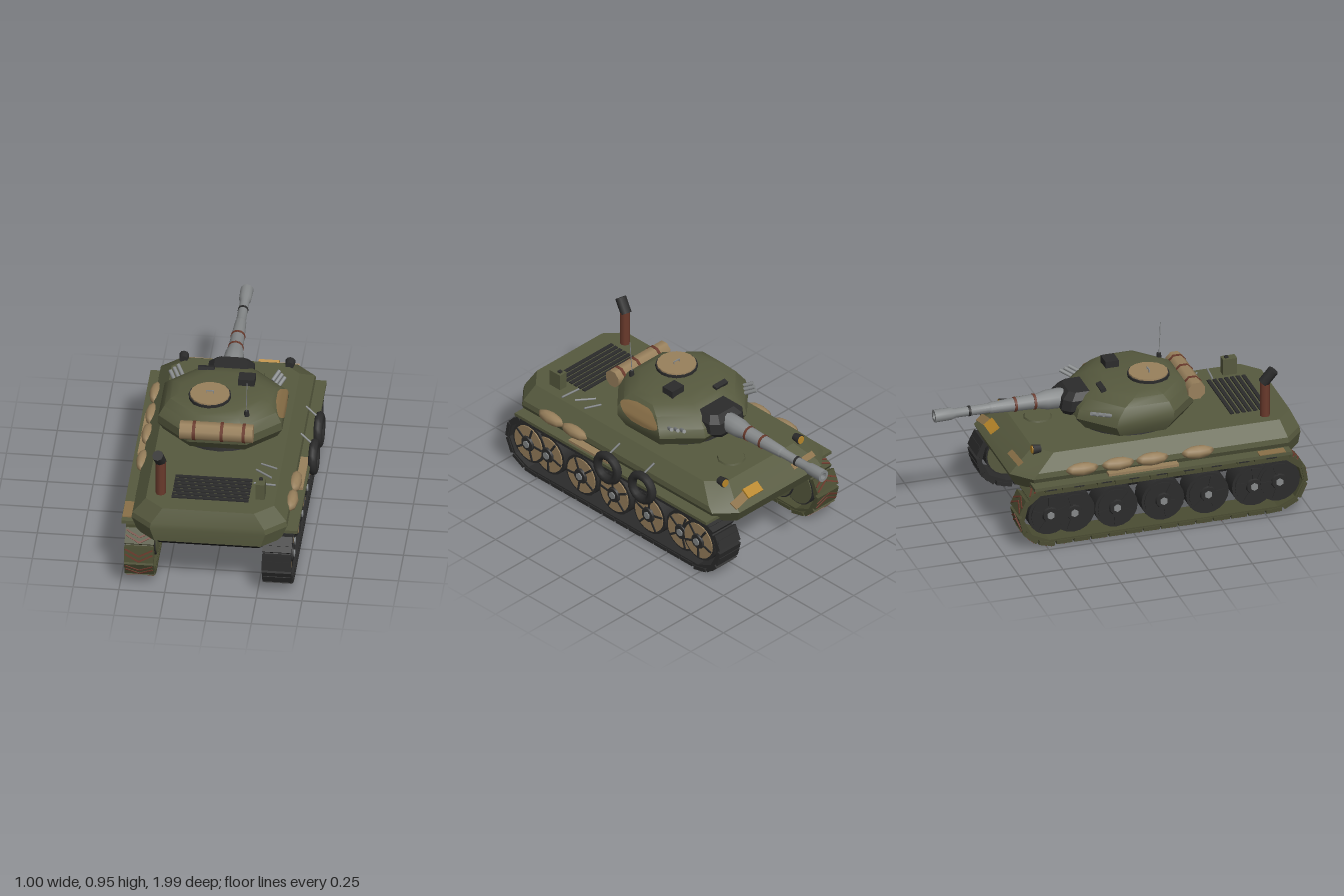
import * as THREE from 'three';
import { toCreasedNormals } from 'three/addons/utils/BufferGeometryUtils.js';

const mat = (name, color, side = THREE.FrontSide) => {
  const m = new THREE.MeshStandardMaterial({ color, side });
  m.name = name;
  return m;
};

// Octagonal loft; each ring is [y, halfWidth, zMin, zMax, cornerX, cornerZ]
function loft(rings, crease) {
  const pos = [];
  const pts = rings.map(([y, w, a, b, cx, cz]) => [
    [-w + cx, y, b], [w - cx, y, b], [w, y, b - cz], [w, y, a + cz],
    [w - cx, y, a], [-w + cx, y, a], [-w, y, a + cz], [-w, y, b - cz]]);
  const tri = (...p) => p.forEach((q) => pos.push(...q));
  for (let i = 0; i < 8; i++) {
    const j = (i + 1) % 8;
    for (let k = 0; k < pts.length - 1; k++) {
      tri(pts[k][i], pts[k][j], pts[k + 1][j]);
      tri(pts[k][i], pts[k + 1][j], pts[k + 1][i]);
    }
    const top = pts[pts.length - 1], low = pts[0];
    if (i > 0 && i < 7) {
      tri(top[0], top[i], top[j]);
      tri(low[0], low[j], low[i]);
    }
  }
  const g = new THREE.BufferGeometry();
  g.setAttribute('position', new THREE.Float32BufferAttribute(pos, 3));
  return toCreasedNormals(g, crease);
}

export function createModel() {
  const olive = mat('olive', 0x56593e), tan = mat('tan', 0x98805c), black = mat('rubber black', 0x2b2b2b);
  const belly = mat('belly black', 0x1b1b1b), red = mat('rust red', 0x6a3a2c), grey = mat('gun grey', 0x858889);
  const yellow = mat('lamp yellow', 0xb8872a), darkOlive = mat('dark olive', 0x4a4c32);
  const tanPaint = mat('tan paint', 0x8a7048, THREE.DoubleSide);
  const root = new THREE.Group();
  root.name = 'tank';

  const add = (name, geo, m, p = [0, 0, 0], r = [0, 0, 0], parent = root) => {
    const o = new THREE.Mesh(geo, m);
    o.name = name;
    o.position.set(...p);
    o.rotation.set(...r);
    parent.add(o);
    return o;
  };
  const box = (x, y, z) => new THREE.BoxGeometry(x, y, z);
  const cyl = (r0, r1, h, n = 12) => new THREE.CylinderGeometry(r0, r1, h, n);
  const rod = (name, a, b, r, m, n = 6) => {
    const A = new THREE.Vector3(...a), B = new THREE.Vector3(...b), d = B.clone().sub(A);
    const o = add(name, cyl(r, r, d.length(), n), m, A.clone().add(B).multiplyScalar(0.5).toArray());
    o.quaternion.setFromUnitVectors(new THREE.Vector3(0, 1, 0), d.normalize());
    return o;
  };
  const CX = -0.018;

  // Hull
  add('upperHull', loft([
    [0.32, 0.39, -0.63, 0.985, 0.1, 0.09], [0.4, 0.425, -0.67, 0.99, 0.11, 0.1],
    [0.43, 0.42, -0.64, 0.985, 0.11, 0.1], [0.51, 0.35, -0.52, 0.95, 0.1, 0.09]], 0.35), olive, [CX, 0, 0]);
  add('lowerHull', loft([
    [0.21, 0.285, -0.42, 0.82, 0.02, 0.02], [0.26, 0.29, -0.54, 0.91, 0.02, 0.02],
    [0.325, 0.295, -0.62, 0.97, 0.02, 0.02]], 0.5), belly, [CX, 0, 0]);
  for (const s of [-1, 1]) {
    add('fender', box(0.13, 0.018, 1.47), olive, [CX + s * 0.416, 0.364, 0.155]);
    for (let i = 0; i < 9; i++) add('fenderBracket', box(0.1, 0.02, 0.06), black, [CX + s * 0.41, 0.346, 0.78 - i * 0.157]);
  }

  // Tracks and wheels, built facing local +X and then turned
  const loop = [[-0.88, 0.325], [-0.955, 0.26], [-0.975, 0.17], [-0.93, 0.07], [-0.83, 0.02],
    [0.5, 0.02], [0.6, 0.07], [0.645, 0.17], [0.625, 0.26], [0.55, 0.325]];
  const outline = new THREE.Shape(loop.map((p) => new THREE.Vector2(...p)));
  outline.closePath();
  const inner = loop.map(([x, y]) => new THREE.Vector2(-0.165 + (x + 0.165) * 0.98, 0.172 + (y - 0.172) * 0.9));
  outline.holes.push(new THREE.Path(inner));
  const band = new THREE.ExtrudeGeometry(outline, { depth: 0.15, bevelEnabled: false });
  band.translate(0, 0, -0.075);
  const padGeo = box(0.09, 0.022, 0.16), chevGeo = box(0.009, 0.006, 0.085), barGeo = box(0.02, 0.012, 0.15);
  const wheelX = [-0.826, -0.686, -0.42, -0.166, 0.1, 0.34, 0.48];

  for (const s of [-1, 1]) {
    const track = new THREE.Group();
    track.name = s > 0 ? 'leftTrack' : 'rightTrack';
    track.position.x = CX + s * 0.376;
    track.rotation.y = Math.PI / 2;
    root.add(track);
    const linkMat = s > 0 ? black : darkOlive;
    add('trackBand', band, linkMat, [0, 0, 0], [0, 0, 0], track);
    const N = 36, pts = outline.getSpacedPoints(N * 2);
    for (let i = 0; i < N; i++) {
      const a = pts[i * 2], m = pts[i * 2 + 1], b = pts[(i * 2 + 2) % pts.length];
      const pad = new THREE.Group();
      pad.name = 'trackLink';
      pad.position.set(m.x, m.y, 0);
      pad.rotation.z = Math.atan2(b.y - a.y, b.x - a.x);
      track.add(pad);
      add('linkPad', padGeo, linkMat, [0, -0.004, 0], [0, 0, 0], pad);
      if (s > 0) add('linkBar', barGeo, black, [0, -0.013, 0], [0, 0, 0], pad);
      else for (const t of [-1, 1]) for (const k of [-0.012, 0.018])
        add('chevron', chevGeo, red, [k, -0.016, t * 0.037], [0, -t * 0.5, 0], pad);
    }
    wheelX.forEach((x, i) => {
      const w = new THREE.Group();
      w.name = 'roadWheel';
      const back = i === 1 || i === 5;
      w.position.set(x, i === 0 || i === 6 ? 0.185 : 0.172, back ? -s * 0.012 : 0);
      w.rotation.x = s * Math.PI / 2; // local +y points outward
      track.add(w);
      add('tyre', cyl(0.122, 0.122, 0.12, 20), black, [0, 0, 0], [0, 0, 0], w);
      add('outerDisc', cyl(0.106, 0.106, 0.008, 20), s > 0 ? tan : black, [0, 0.062, 0], [0, 0, 0], w);
      add('innerDisc', cyl(0.114, 0.114, 0.008, 20), olive, [0, -0.061, 0], [0, 0, 0], w);
      add('hubRing', cyl(0.042, 0.048, 0.016, 10), black, [0, 0.07, 0], [0, 0, 0], w);
      add('hub', cyl(0.022, 0.022, 0.012, 6), grey, [0, 0.079, 0], [0, 0, 0], w);
      for (let k = 0; k < 5; k++) {
        const a = k * Math.PI * 0.4 + i;
        add('spoke', box(0.07, 0.01, 0.012), black, [Math.cos(a) * 0.07, 0.066, -Math.sin(a) * 0.07], [0, a, 0], w);
      }
    });
  }

  // Turret
  const TX = -0.03;
  add('turretRing', cyl(0.27, 0.28, 0.04, 24), black, [TX, 0.522, 0.09]);
  const T = [
    [0.535, 0.31, -0.19, 0.37, 0.16, 0.15], [0.6, 0.34, -0.24, 0.425, 0.18, 0.17], [0.65, 0.335, -0.225, 0.43, 0.18, 0.17],
    [0.7, 0.305, -0.17, 0.4, 0.17, 0.16], [0.735, 0.275, -0.1, 0.365, 0.16, 0.15], [0.752, 0.23, -0.04, 0.32, 0.14, 0.13]];
  add('turret', loft(T, 0.6), olive, [TX, 0, 0]);
  // Painted patch following the turret side
  const patch = new THREE.PlaneGeometry(1, 1, 6, 10), pp = patch.attributes.position;
  for (let i = 0; i < pp.count; i++) {
    const v = pp.getY(i) * 2, y = 0.668 + v * 0.05;
    const k = T.findIndex((r, n) => n < T.length - 1 && y <= T[n + 1][0]);
    const f = (y - T[k][0]) / (T[k + 1][0] - T[k][0]);
    const w = T[k][1] + f * (T[k + 1][1] - T[k][1]);
    const z = 0.1 + 0.02 * Math.sin(v * 3) - pp.getX(i) * 0.28 * Math.pow(1 - v * v * 0.9, 0.5);
    pp.setXYZ(i, TX + w + 0.006, y, z);
  }
  patch.computeVertexNormals();
  add('turretPatch', patch, tanPaint);

  // Turret roof fittings
  add('hatchRim', cyl(0.116, 0.116, 0.018, 16), black, [-0.09, 0.758, 0.2]);
  add('hatchLid', cyl(0.108, 0.11, 0.014, 16), tan, [-0.09, 0.768, 0.2]);
  add('hatchHandle', box(0.04, 0.005, 0.006), grey, [-0.09, 0.79, 0.2]);
  for (const x of [-0.11, -0.07]) add('handlePost', box(0.004, 0.018, 0.006), grey, [x, 0.782, 0.2]);
  add('sightBox', box(0.09, 0.045, 0.075), black, [0.095, 0.768, 0.04]);
  add('periscope', box(0.09, 0.02, 0.03), black, [-0.14, 0.745, -0.085], [-0.3, 0, 0]);
  add('antennaBase', cyl(0.013, 0.015, 0.03, 8), black, [0.125, 0.745, 0.33]);
  rod('antenna', [0.122, 0.75, 0.33], [0.128, 0.946, 0.34], 0.0025, grey);
  for (const s of [-1, 1]) for (let k = 0; k < 3; k++) {
    const x = TX + s * (0.265 + k * 0.018), z = -0.17 + k * 0.03;
    rod('smokeTube', [x - s * 0.02, 0.65, z + 0.03], [x + s * 0.012, 0.68, z - 0.025], 0.011, grey, 8);
  }

  // Bedroll on the turret rear
  add('bedroll', cyl(0.052, 0.052, 0.4, 8), tan, [-0.028, 0.682, 0.432], [Math.PI / 8, 0, Math.PI / 2]);
  for (const x of [-0.15, 0.002, 0.122]) add('bedrollStrap', cyl(0.055, 0.055, 0.017, 8), red, [x, 0.682, 0.432], [Math.PI / 8, 0, Math.PI / 2]);

  // Gun
  add('mantlet', loft([
    [0.585, 0.09, -0.28, -0.14, 0.03, 0.03], [0.62, 0.125, -0.3, -0.12, 0.04, 0.04],
    [0.68, 0.125, -0.29, -0.12, 0.04, 0.04], [0.715, 0.09, -0.25, -0.1, 0.03, 0.03]], 0.3), black, [CX, 0, 0]);
  const profile = [[0, 0.24], [0.05, 0.24], [0.056, 0.29], [0.054, 0.36], [0.042, 0.41], [0.037, 0.56], [0.031, 0.68],
    [0.027, 0.69], [0.026, 0.88], [0.034, 0.905], [0.036, 1.0], [0.02, 1.0], [0.02, 0.93], [0, 0.93]];
  const gun = new THREE.LatheGeometry(profile.map((p) => new THREE.Vector2(...p)), 12);
  add('barrel', toCreasedNormals(gun.toNonIndexed(), 0.6), grey, [CX, 0.652, 0], [-Math.PI / 2, 0, 0]);
  add('bore', cyl(0.02, 0.02, 0.004), black, [CX, 0.652, -0.935], [Math.PI / 2, 0, 0]);
  for (const [z, r, m] of [[0.43, 0.044, red], [0.54, 0.041, red], [0.8, 0.029, black]])
    add('barrelBand', cyl(r, r, 0.014), m, [CX, 0.652, -z], [Math.PI / 2, 0, 0]);

  // Exhaust stack and engine deck
  add('exhaustPipe', cyl(0.028, 0.028, 0.22, 8), red, [-0.293, 0.615, 0.8]);
  rod('exhaustTip', [-0.293, 0.708, 0.79], [-0.305, 0.782, 0.845], 0.031, black, 8);
  for (let i = 0; i < 7; i++) add('grilleBar', box(0.42, 0.01, 0.021), black, [-0.02, 0.512, 0.635 + i * 0.033]);
  add('fuelCan', box(0.05, 0.1, 0.08), olive, [0.25, 0.555, 0.77]);
  add('fuelCanCap', box(0.02, 0.012, 0.02), black, [0.25, 0.608, 0.755]);
  rod('tool', [0.22, 0.516, 0.47], [0.31, 0.516, 0.51], 0.006, grey);
  rod('tool', [0.2, 0.516, 0.53], [0.29, 0.516, 0.6], 0.006, grey);
  rod('tool', [0.2, 0.516, 0.66], [0.32, 0.516, 0.67], 0.006, grey);

  // Spare tyres with their stays
  for (const z of [0.165, -0.1]) {
    const t = new THREE.TorusGeometry(0.076, 0.025, 8, 20);
    add('spareTyre', t, black, [0.475, 0.375, z], [0, Math.PI / 2, 0]);
    rod('tyreStay', [0.4, 0.51, z - 0.02], [0.465, 0.46, z], 0.006, grey);
  }

  // Sandbags and plank
  const bagGeo = new THREE.SphereGeometry(1, 8, 6);
  const bag = (x, z, l) => add('sandbag', bagGeo, tan, [x, 0.422, z]).scale.set(0.036, 0.036, l);
  [[0.408, 0.665], [0.408, 0.485], [-0.438, -0.29], [-0.438, -0.085], [-0.438, 0.11], [-0.438, 0.37]].forEach(([x, z]) => bag(x, z, 0.095));
  add('plank', box(0.05, 0.016, 0.3), tan, [0.425, 0.38, 0.34]);
  add('leftPlank', box(0.05, 0.016, 0.4), tan, [-0.455, 0.38, 0.05]);

  // Glacis details: driver hatch, lamps, paint, box
  const tilt = [-0.63, 0, 0];
  add('driverHatch', cyl(0.075, 0.08, 0.012, 10), olive, [0.07, 0.514, -0.38]);
  for (const x of [-0.31, 0.27]) {
    add('headlampBody', cyl(0.028, 0.022, 0.045, 10), black, [x, 0.517, -0.51], [-Math.PI / 2, 0, 0]);
    add('headlampLens', cyl(0.023, 0.023, 0.006, 10), yellow, [x, 0.517, -0.535], [-Math.PI / 2, 0, 0]);
  }
  add('glacisPatch', box(0.17, 0.006, 0.035), tanPaint, [-0.25, 0.449, -0.61], [-0.63, 0.05, 0]);
  add('glacisPatch', box(0.12, 0.006, 0.05), tanPaint, [0.25, 0.438, -0.625], [-0.63, 0.2, 0]);
  add('glacisBox', box(0.11, 0.025, 0.06), yellow, [0.145, 0.448, -0.615], tilt);
  add('fenderPatch', box(0.05, 0.005, 0.15), tanPaint, [-0.472, 0.375, 0.78]);
  return root;
}
